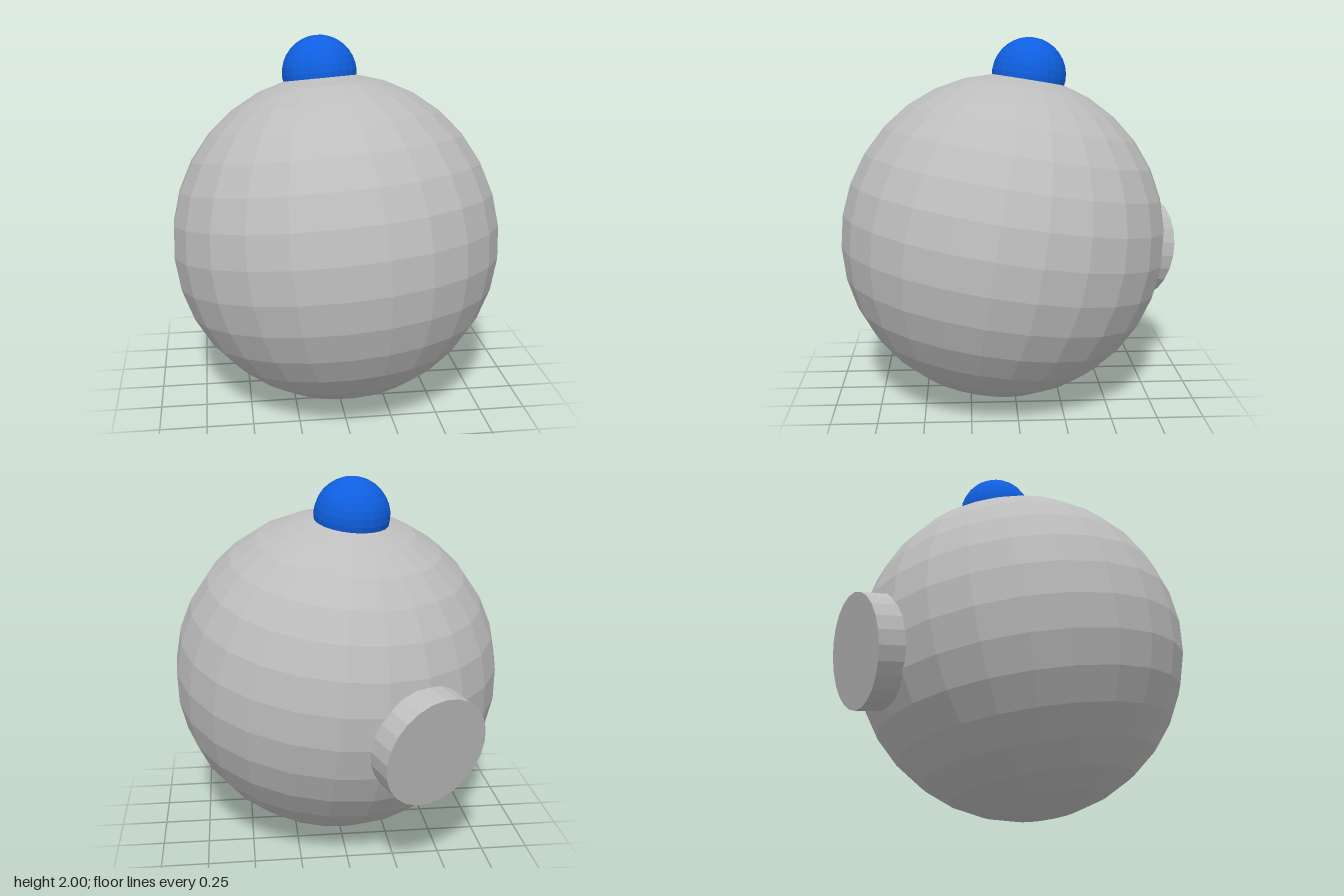
import * as THREE from 'three';

export function createModel() {
  const model = new THREE.Group();
  model.name = 'ballWithKnob';

  const grey = new THREE.MeshStandardMaterial({ color: 0xbdbdbd, flatShading: true });
  grey.name = 'grey';
  const blue = new THREE.MeshStandardMaterial({ color: 0x0f5fe0, flatShading: true });
  blue.name = 'blue';

  const add = (name, geometry, material) => {
    const mesh = new THREE.Mesh(geometry, material);
    mesh.name = name;
    tilted.add(mesh);
    return mesh;
  };

  // Everything shares one leaning frame: knob along +y, rear disc along -z
  const tilted = new THREE.Group();
  tilted.name = 'tiltedBody';
  const up = new THREE.Vector3(-0.07, 0.895, -0.147).normalize();
  const front = new THREE.Vector3(0.41, 0.17, 0.88);
  const side = new THREE.Vector3().crossVectors(up, front).normalize();
  front.crossVectors(side, up);
  tilted.quaternion.setFromRotationMatrix(new THREE.Matrix4().makeBasis(side, up, front));
  tilted.position.set(0, 0.9, 0.06);
  model.add(tilted);

  // Faceted main ball
  add('body', new THREE.SphereGeometry(0.903, 24, 16), grey);

  // Small ball on the top pole
  add('knob', new THREE.SphereGeometry(0.205, 24, 16), blue).position.y = 0.907;

  // Round plug sticking out of the back, sunk into the body
  const plug = add('rearDisc', new THREE.CylinderGeometry(0.302, 0.302, 0.24, 24), grey);
  plug.rotation.x = -Math.PI / 2;
  plug.position.z = -0.865;

  return model;
}
